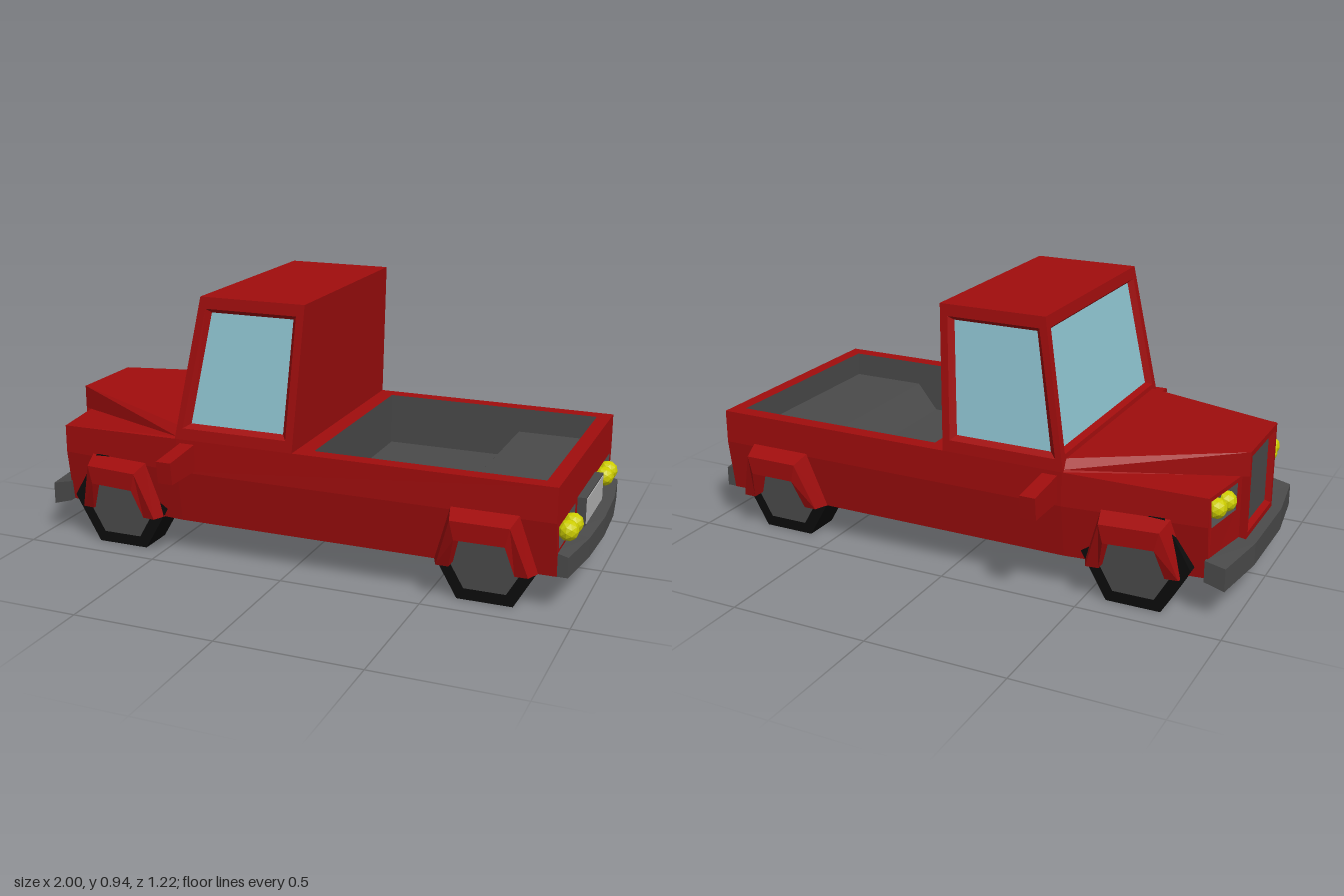
import * as THREE from 'three';

const RED = 0xa00d0d, DARK = 0x4a4a4a, GLASS = 0x8fc5d2, YELLOW = 0xcccc00;
const mats = {};
const mat = (color) => (mats[color] ??= new THREE.MeshStandardMaterial({
  color, flatShading: true, side: THREE.DoubleSide }));

// Triangulates a near-planar 3D outline (counter-clockwise from outside) with holes.
function addFace(pos, outline, holes = []) {
  const v = (p) => new THREE.Vector3(...p);
  const n = new THREE.Vector3();
  outline.forEach((p, i) => n.add(v(p).cross(v(outline[(i + 1) % outline.length]))));
  const size = n.toArray().map(Math.abs);
  const drop = size.indexOf(Math.max(...size));
  const flat = (p) => new THREE.Vector2(...p.filter((_, i) => i !== drop));
  // The triangulator wants an anticlockwise outline in 2D
  const ring = outline.slice();
  if (THREE.ShapeUtils.isClockWise(ring.map(flat))) ring.reverse();
  const all = [...ring, ...holes.flat()];
  for (const t of THREE.ShapeUtils.triangulateShape(ring.map(flat), holes.map((h) => h.map(flat)))) {
    const [a, b, c] = t.map((i) => v(all[i]));
    const facing = b.clone().sub(a).cross(c.clone().sub(a)).dot(n);
    for (const p of facing < 0 ? [a, c, b] : [a, b, c]) pos.push(p.x, p.y, p.z);
  }
}

const flip = (ring) => ring.map(([x, y, z]) => [x, y, -z]).reverse();

// Mesh from faces, each an outline or { outline, holes }; optionally mirrored across z.
function panels(group, name, color, faces, mirror = false) {
  const pos = [];
  for (const f of faces) {
    const { outline, holes = [] } = Array.isArray(f) ? { outline: f } : f;
    addFace(pos, outline, holes);
    if (mirror) addFace(pos, flip(outline), holes.map(flip));
  }
  const g = new THREE.BufferGeometry();
  g.setAttribute('position', new THREE.Float32BufferAttribute(pos, 3));
  g.computeVertexNormals();
  const mesh = new THREE.Mesh(g, mat(color));
  mesh.name = name;
  group.add(mesh);
}

// Recess: sloping rim from an outer ring to an inner ring, closed by a pane.
function recess(group, name, outer, inner, rim, pane, mirror) {
  const rims = outer.map((p, i) => {
    const j = (i + 1) % outer.length;
    return [p, outer[j], inner[j], inner[i]];
  });
  panels(group, name + 'Rim', rim, rims, mirror);
  panels(group, name, pane, [inner], mirror);
}

function add(group, name, geometry, color, x, y, z) {
  const mesh = new THREE.Mesh(geometry, mat(color));
  mesh.name = name;
  mesh.position.set(x, y, z);
  group.add(mesh);
  return mesh;
}

// Point on the body side: tapers toward the nose and tucks in below the crease.
function side(x, y, out = 0) {
  const w = x < -0.42 ? 0.44 + (x + 0.42) * 0.103 : 0.44;
  return [x, y, w - Math.max(0, 0.32 - y) * 0.15 + out];
}

const rect = (x, z0, z1, y0, y1) => [[x, y0, z0], [x, y0, z1], [x, y1, z1], [x, y1, z0]];

export function createModel() {
  const truck = new THREE.Group();
  truck.name = 'pickupTruck';
  const axles = [-0.67, 0.695];

  // Body sides with wheel arch notches
  const notch = (c) => [[c - 0.11, 0.13], [c - 0.085, 0.24], [c + 0.085, 0.24], [c + 0.11, 0.13]];
  const sideFaces = [[-0.905, -0.42, axles[0]], [-0.42, 0.93, axles[1]]].flatMap(([a, b, c]) => [
    [[a, 0.13], ...notch(c), [b, 0.13], [b, 0.32], [a, 0.32]].map((p) => side(...p)),
    [side(a, 0.32), side(b, 0.32), side(b, 0.44), side(a, a < -0.5 ? 0.42 : 0.44)],
  ]);
  panels(truck, 'bodySides', RED, sideFaces, true);

  // Tailgate and its lamp recesses
  const lampOuter = [[0.93, 0.22, 0.40], [0.93, 0.22, 0.18], [0.93, 0.30, 0.17], [0.93, 0.30, 0.41]];
  const lampInner = [[0.91, 0.235, 0.385], [0.91, 0.235, 0.2], [0.91, 0.29, 0.2], [0.91, 0.29, 0.385]];
  const half = [side(0.93, 0.13), side(0.93, 0.32), side(0.93, 0.44)];
  panels(truck, 'tailgate', RED, [{
    outline: [half[0], ...flip(half).reverse(), half[2], half[1]],
    holes: [lampOuter, flip(lampOuter)],
  }]);
  recess(truck, 'tailLampRecess', lampOuter, lampInner, DARK, DARK, true);
  add(truck, 'plateFrame', new THREE.BoxGeometry(0.035, 0.1, 0.285), DARK, 0.942, 0.26, 0);
  add(truck, 'plate', new THREE.BoxGeometry(0.01, 0.088, 0.265), 0xb4b4b4, 0.957, 0.26, 0);

  // Bed: top rim, walls and a floor that steps up toward the tail
  const floor = [[0.08, 0.25], [0.51, 0.25], [0.59, 0.35], [0.88, 0.35]];
  const bz = 0.385;
  const level = (x, z) => [x, 0.44, z];
  panels(truck, 'bedRim', RED, [{
    outline: [level(-0.42, 0.44), level(0.93, 0.44), level(0.93, -0.44), level(-0.42, -0.44)],
    holes: [[level(0.08, bz), level(0.88, bz), level(0.88, -bz), level(0.08, -bz)]],
  }]);
  panels(truck, 'bedFloor', DARK, floor.slice(1).map(([x, y], i) => {
    const [px, py] = floor[i];
    return [[px, py, bz], [x, y, bz], [x, y, -bz], [px, py, -bz]];
  }));
  panels(truck, 'bedWalls', DARK, [rect(0.08, bz, -bz, 0.25, 0.44), rect(0.88, -bz, bz, 0.35, 0.44)]);
  panels(truck, 'bedSideWalls', DARK,
    [[...floor.map(([x, y]) => [x, y, -bz]), level(0.88, -bz), level(0.08, -bz)]], true);

  // Underside
  const under = [side(-0.905, 0.13), side(-0.42, 0.13), side(0.93, 0.13)];
  panels(truck, 'underside', 0x333333,
    [[...flip(under).reverse(), ...under.slice().reverse(), [-0.94, 0.13, 0.155], [-0.94, 0.13, -0.155]]]);

  // Hood, fender tops and nose sides
  const noseTop = [-0.965, 0.505, 0.155], noseLow = [-0.965, 0.42, 0.155];
  const hoodBack = [-0.42, 0.475, 0.40], valley = [-0.42, 0.445, 0.43];
  const neg = ([x, y, z]) => [x, y, -z];
  panels(truck, 'hood', RED, [[noseTop, hoodBack, neg(hoodBack), neg(noseTop)]]);
  panels(truck, 'fenderTops', RED, [
    [noseTop, noseLow, valley], [noseTop, valley, hoodBack],
    [[-0.94, 0.42, 0.155], side(-0.905, 0.42), side(-0.42, 0.44), valley],
    [[-0.965, 0.19, 0.155], [-0.93, 0.19, 0.155], [-0.93, 0.425, 0.155], noseLow],
  ], true);
  panels(truck, 'noseBottom', RED,
    [[[-0.965, 0.19, -0.155], [-0.93, 0.19, -0.155], [-0.93, 0.19, 0.155], [-0.965, 0.19, 0.155]]]);

  // Grille set in the nose
  const grille = rect(-0.965, -0.138, 0.138, 0.215, 0.485);
  panels(truck, 'nose', RED, [{ outline: rect(-0.965, -0.155, 0.155, 0.19, 0.505), holes: [grille] }]);
  recess(truck, 'grille', grille, rect(-0.945, -0.13, 0.13, 0.225, 0.475), RED, DARK, false);

  // Fender fronts with headlamp recesses
  const front = (z, y, inward = 0) => [-0.94 + (z - 0.155) * 0.149 + inward, y, z];
  const headOuter = [front(0.19, 0.31), front(0.365, 0.31), front(0.375, 0.405), front(0.185, 0.405)];
  const headInner = [front(0.2, 0.325, 0.02), front(0.35, 0.325, 0.02),
    front(0.355, 0.39, 0.02), front(0.2, 0.39, 0.02)];
  panels(truck, 'fenderFronts', RED, [{
    outline: [front(0.155, 0.13), side(-0.905, 0.13), side(-0.905, 0.32), side(-0.905, 0.42), front(0.155, 0.42)],
    holes: [headOuter],
  }], true);
  recess(truck, 'headlampRecess', headOuter, headInner, DARK, DARK, true);

  // Cab shell with side windows and windshield
  const cab = (x, y, inward = 0) => [x, y, 0.44 - (y - 0.44) * 0.1 - inward];
  const winOuter = [cab(-0.395, 0.48), cab(-0.005, 0.48), cab(0.02, 0.9), cab(-0.315, 0.9)];
  const winInner = [cab(-0.37, 0.495, 0.02), cab(-0.022, 0.495, 0.02), cab(0.003, 0.885, 0.02), cab(-0.3, 0.885, 0.02)];
  const base = [cab(-0.425, 0.44), cab(0.02, 0.44)], roof = [cab(-0.335, 0.94), cab(0.05, 0.94)];
  panels(truck, 'cabSides', RED,
    [{ outline: [base[0], base[1], roof[1], roof[0]], holes: [winOuter] }], true);
  recess(truck, 'sideWindow', winOuter, winInner, RED, GLASS, true);
  const shield = (y, z, inward = 0) => [-0.425 + (y - 0.44) * 0.18 + inward, y, z];
  const shOuter = [shield(0.49, -0.405), shield(0.49, 0.405), shield(0.9, 0.365), shield(0.9, -0.365)];
  const shInner = [shield(0.5, -0.385, 0.02), shield(0.5, 0.385, 0.02),
    shield(0.885, 0.35, 0.02), shield(0.885, -0.35, 0.02)];
  panels(truck, 'cabShell', RED, [
    { outline: [neg(base[0]), base[0], roof[0], neg(roof[0])], holes: [shOuter] },
    [base[1], neg(base[1]), neg(roof[1]), roof[1]],
    [roof[0], roof[1], neg(roof[1]), neg(roof[0])],
  ]);
  recess(truck, 'windshield', shOuter, shInner, RED, GLASS, false);

  // Wheel arch flares: one bevelled profile swept over four stations
  for (const c of axles) {
    const stations = [[-1, 0], [-1, 1], [1, 1], [1, 0]].map(([s, up]) => up
      ? [side(c + s * 0.115, 0.33), side(c + s * 0.1, 0.305, 0.065), side(c + s * 0.085, 0.24, 0.073), side(c + s * 0.085, 0.24, -0.03)]
      : [side(c + s * 0.175, 0.13), side(c + s * 0.155, 0.13, 0.05), side(c + s * 0.11, 0.13, 0.05), side(c + s * 0.11, 0.13, -0.03)]);
    const faces = [stations[0].slice().reverse(), stations[3]];
    for (let i = 0; i < 3; i++) for (let k = 0; k < 3; k++)
      faces.push([stations[i][k], stations[i][k + 1], stations[i + 1][k + 1], stations[i + 1][k]]);
    panels(truck, 'archFlare', RED, faces, true);
  }

  // Bumpers bowed outward, with a slight tilt
  const bumper = (name, dir, inX, outline, outY, inY) => {
    const secs = outline.map(([x, z]) => [[x, outY[0], z], [x, outY[1], z], [inX, inY[1], z], [inX, inY[0], z]]);
    const faces = [secs[0], secs.at(-1).slice().reverse()];
    for (let i = 0; i < secs.length - 1; i++) for (let k = 0; k < 4; k++) {
      const m = (k + 1) % 4;
      faces.push([secs[i][k], secs[i + 1][k], secs[i + 1][m], secs[i][m]]);
    }
    panels(truck, name, DARK, dir > 0 ? faces : faces.map((f) => f.slice().reverse()));
  };
  bumper('rearBumper', 1, 0.92, [[0.965, 0.41], [0.992, 0.21], [1, 0], [0.992, -0.21], [0.965, -0.41]], [0.13, 0.2], [0.13, 0.212]);
  bumper('frontBumper', -1, -0.9, [[-0.97, 0.39], [-1, 0.16], [-1, -0.16], [-0.97, -0.39]], [0.11, 0.19], [0.13, 0.205]);

  // Wheels, lamps and mirrors on both sides
  const tyre = new THREE.CylinderGeometry(0.192, 0.192, 0.135, 6).rotateX(Math.PI / 2).rotateZ(Math.PI / 6);
  const hub = new THREE.CylinderGeometry(0.145, 0.145, 0.01, 6).rotateX(Math.PI / 2).rotateZ(Math.PI / 6);
  for (const g of [tyre, hub]) g.rotateZ(Math.PI / 6 * (Math.abs(new THREE.Vector3().fromBufferAttribute(g.attributes.position, 0).y) > 0.18 || g === hub && Math.abs(g.attributes.position.getY(0)) > 0.14 ? 1 : 0));
  const bulb = new THREE.IcosahedronGeometry(0.036, 1);
  for (const s of [1, -1]) {
    for (const c of axles) {
      add(truck, 'tyre', tyre, 0x0c0c0c, c, 0.166, s * 0.3425);
      add(truck, 'hub', hub, DARK, c, 0.166, s * 0.408);
    }
    for (const z of [0.255, 0.325]) {
      add(truck, 'tailLamp', bulb, YELLOW, 0.942, 0.26, s * z);
      add(truck, 'headlamp', bulb, YELLOW, front(z - 0.015, 0)[0] + 0.012, 0.358, s * (z - 0.015));
    }
    const mirror = new THREE.Shape([[0.42, 0.33], [0.6, 0.33], [0.61, 0.41], [0.42, 0.428]]
      .map(([z, y]) => new THREE.Vector2(-s * z, y)));
    add(truck, 'sideMirror', new THREE.ExtrudeGeometry(mirror, { depth: 0.055, bevelEnabled: false })
      .rotateY(Math.PI / 2), RED, -0.405, 0, 0);
  }
  return truck;
}
